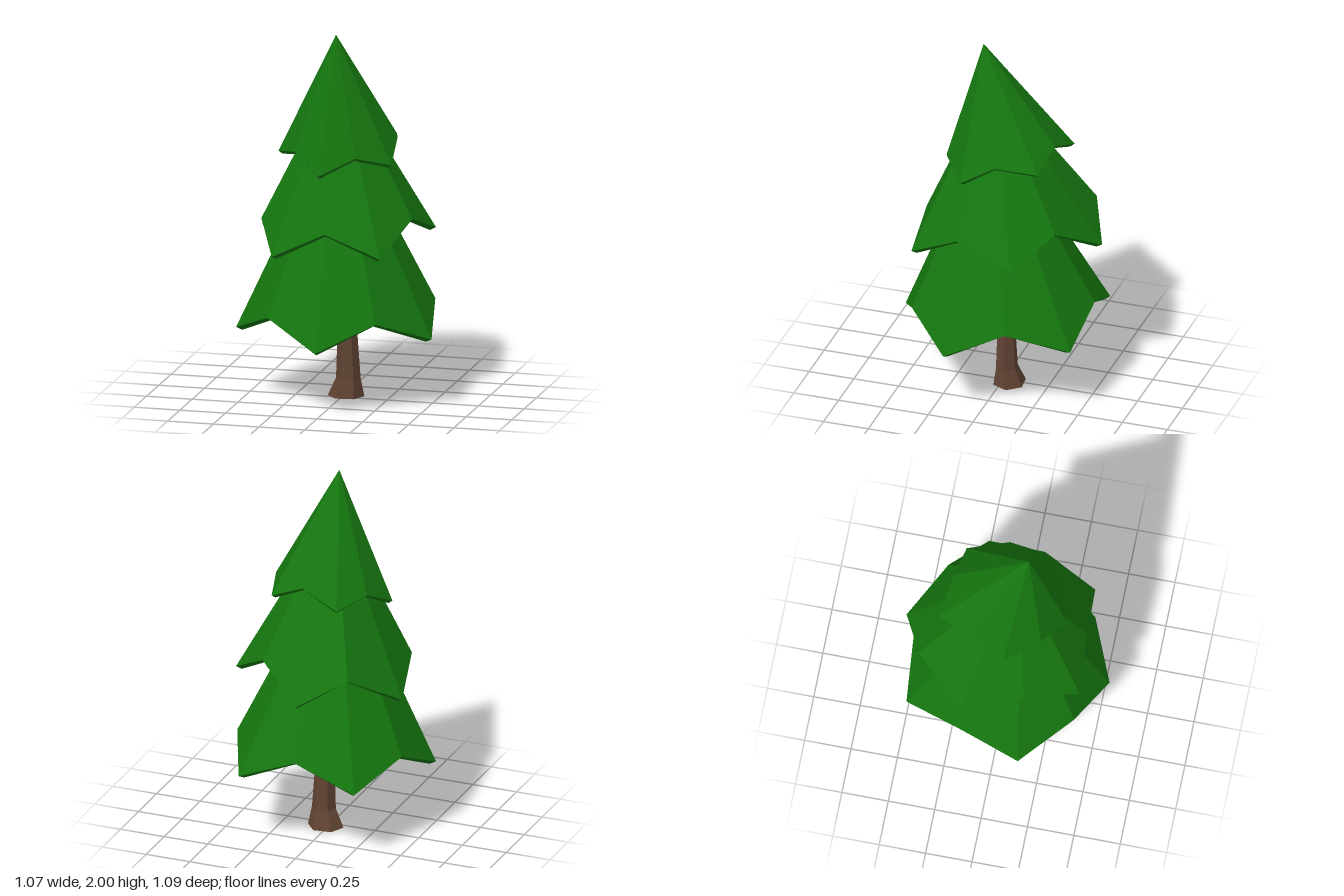
import * as THREE from 'three';

const green = new THREE.MeshStandardMaterial({ color: 0x15760f, flatShading: true });
const brown = new THREE.MeshStandardMaterial({ color: 0x604333, flatShading: true });

// Flat-shaded mesh from a list of triangles, each three Vector3 corners
function facetMesh(name, triangles, material) {
  const geometry = new THREE.BufferGeometry().setFromPoints(triangles.flat());
  geometry.computeVertexNormals();
  const mesh = new THREE.Mesh(geometry, material);
  mesh.name = name;
  return mesh;
}

// Hollow cone of needles: the rim alternates drooping tips and raised notches
function foliageTier(name, apexPoint, rimPoints) {
  const apex = new THREE.Vector3(...apexPoint);
  const innerApex = apex.clone().setY(apex.y - 0.1);
  const rim = rimPoints.map((p) => new THREE.Vector3(...p));
  const inner = rim.map((p) => new THREE.Vector3(p.x * 0.94, p.y - 0.016, p.z * 0.94));
  const triangles = [];
  rim.forEach((a, i) => {
    const j = (i + 1) % rim.length;
    const b = rim[j];
    triangles.push(
      [apex, a, b],                // outer slope
      [a, inner[i], inner[j]],     // rim thickness
      [a, inner[j], b],
      [innerApex, inner[j], inner[i]], // underside
    );
  });
  return facetMesh(name, triangles, green);
}

// Six-sided trunk with a flared foot, lofted through rings [x, y, z, radius]
function trunk() {
  const sides = 6;
  const rings = [
    [0.015, 0, -0.04, 0.098],
    [0.03, 0.1, -0.03, 0.066],
    [0.026, 0.35, -0.025, 0.053],
    [0.02, 1.0, -0.01, 0.042],
  ].map(([x, y, z, r]) => Array.from({ length: sides }, (_, i) => {
    const a = -THREE.MathUtils.degToRad(53 + i * 60);
    return new THREE.Vector3(x + r * Math.cos(a), y, z - r * 0.9 * Math.sin(a));
  }));
  const triangles = [];
  for (let i = 0; i < sides; i++) {
    const j = (i + 1) % sides;
    for (let k = 0; k < rings.length - 1; k++) {
      const [low, high] = [rings[k], rings[k + 1]];
      triangles.push([low[j], low[i], high[i]], [low[j], high[i], high[j]]);
    }
    // end caps
    const foot = new THREE.Vector3(0.015, 0, -0.04);
    const top = new THREE.Vector3(0.02, 1.0, -0.01);
    triangles.push([foot, rings[0][i], rings[0][j]], [top, rings[3][j], rings[3][i]]);
  }
  return facetMesh('trunk', triangles, brown);
}

export function createModel() {
  const tree = new THREE.Group();
  tree.name = 'pineTree';
  tree.add(trunk());

  // Rims run from the front round by the left side: tip, notch, tip, notch...
  tree.add(foliageTier('lowerFoliage', [0, 1.55, 0.07], [
    [0, 0.365, 0.545], [0.295, 0.51, 0.41],
    [0.535, 0.385, 0.155], [0.47, 0.53, -0.165],
    [0.33, 0.415, -0.485], [0, 0.555, -0.51],
    [-0.33, 0.415, -0.485], [-0.47, 0.53, -0.165],
    [-0.535, 0.385, 0.155], [-0.295, 0.51, 0.41],
  ]));
  tree.add(foliageTier('middleFoliage', [0, 1.8, 0.06], [
    [-0.265, 0.85, 0.435], [0.02, 0.985, 0.42],
    [0.32, 0.865, 0.405], [0.42, 1.025, 0.115],
    [0.465, 0.91, -0.195], [0.24, 1.055, -0.37],
    [-0.02, 0.895, -0.545], [-0.27, 1.04, -0.43],
    [-0.475, 0.865, -0.17], [-0.395, 0.99, 0.16],
  ]));
  tree.add(foliageTier('upperFoliage', [0, 2, 0.11], [
    [-0.04, 1.275, 0.33], [0.145, 1.37, 0.265],
    [0.31, 1.315, 0.135], [0.295, 1.425, -0.05],
    [0.23, 1.39, -0.27], [0.04, 1.475, -0.302],
    [-0.17, 1.39, -0.34], [-0.27, 1.43, -0.16],
    [-0.335, 1.33, 0.035], [-0.2, 1.375, 0.215],
  ]));
  return tree;
}
